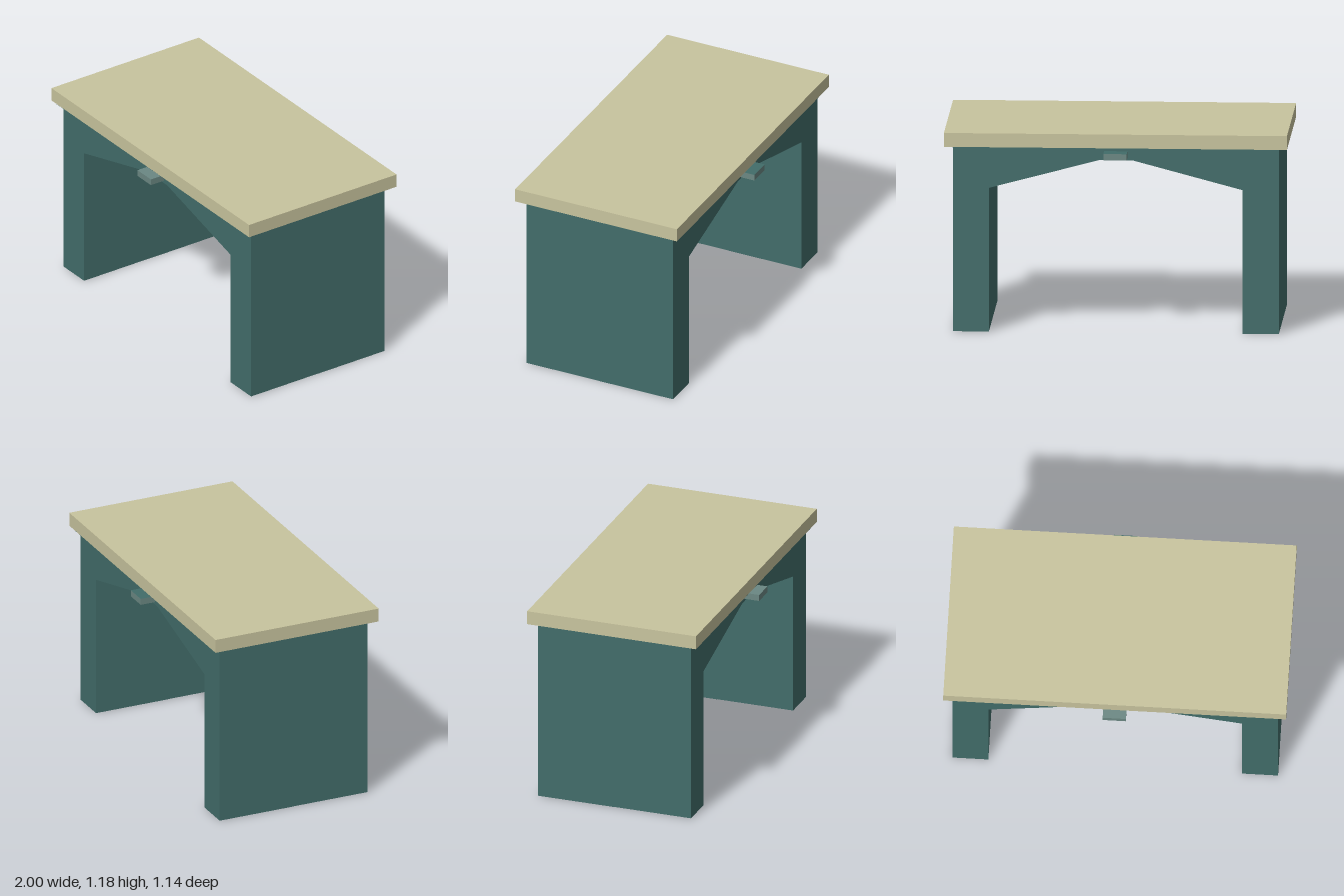
import * as THREE from 'three';

export function createModel() {
  const model = new THREE.Group();
  const mat = (name, color) => {
    const m = new THREE.MeshStandardMaterial({ color });
    m.name = name;
    return m;
  };
  const teal = mat('teal', 0x426d6a);
  const sand = mat('sand', 0xc8c49e);
  const grey = mat('greyGreen', 0x6b8883);

  const add = (name, geometry, material, x = 0, y = 0, z = 0) => {
    const mesh = new THREE.Mesh(geometry, material);
    mesh.name = name;
    mesh.position.set(x, y, z);
    model.add(mesh);
  };
  const box = (w, h, d) => new THREE.BoxGeometry(w, h, d);

  // Portal: two walls joined by a haunched arch
  const half = [[0.95, 1.1], [0.95, 0], [0.74, 0], [0.74, 0.85], [0.1, 1.02]];
  const outline = [...half, ...half.map(([x, y]) => [-x, y]).reverse()];
  const shape = new THREE.Shape(outline.map(([x, y]) => new THREE.Vector2(x, y)));
  const portal = new THREE.ExtrudeGeometry(shape, { depth: 0.95, bevelEnabled: false });
  portal.translate(0, 0, -0.475);
  add('portal', portal, teal);

  // Overhanging slab on top
  add('deckSlab', box(2, 0.082, 1.05), sand, 0, 1.141, 0);

  for (const s of [1, -1]) {
    // Dark soffit below the long overhangs
    add('soffit', box(1.9, 0.003, 0.048), teal, 0, 1.0985, s * 0.499);
    // Small bracket at the crown; the rear one has a teal top
    const top = s > 0 ? grey : teal;
    add('crownBracket', box(0.136, 0.038, 0.1), [grey, grey, top, grey, grey, grey], 0, 1.055, s * 0.518);
    // Grey foot plate under the rear half of each wall
    add('footPlate', box(0.21, 0.004, 0.475), [teal, teal, teal, grey, teal, teal], s * 0.845, 0.001, -0.2375);
  }
  return model;
}
